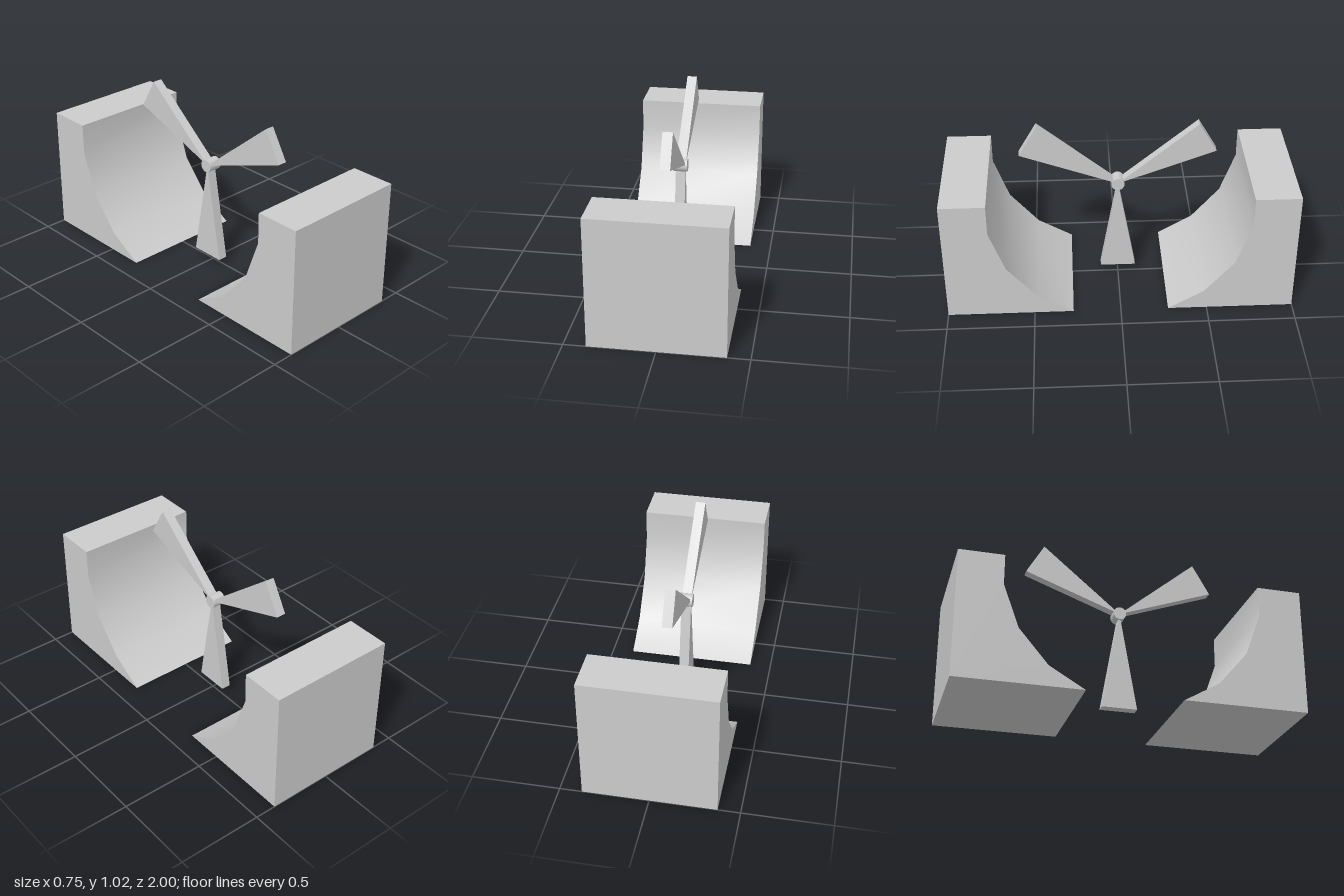
import * as THREE from 'three';
import { toCreasedNormals } from 'three/addons/utils/BufferGeometryUtils.js';

const material = new THREE.MeshStandardMaterial({ color: 0xcccccc });

// Extrudes a (z, y) outline along x, from x0 to x1
function extrudeAlongX(points, x0, x1) {
  const shape = new THREE.Shape(points.map(([z, y]) => new THREE.Vector2(z, y)));
  const geometry = new THREE.ExtrudeGeometry(shape, { depth: x1 - x0, bevelEnabled: false });
  geometry.rotateY(-Math.PI / 2).translate(x1, 0, 0);
  return toCreasedNormals(geometry, 0.6);
}

function addMesh(parent, geometry, name) {
  const mesh = new THREE.Mesh(geometry, material);
  mesh.name = name;
  parent.add(mesh);
  return mesh;
}

export function createModel() {
  const model = new THREE.Group();
  model.name = 'turbineInChannel';

  // Two facing blocks with a hollowed inner side
  const blockProfile = [[0.275, 0], [1, 0], [1, 0.75], [0.74, 0.75], [0.74, 0.57], [0.65, 0.32], [0.48, 0.12]];
  const block = extrudeAlongX(blockProfile, -0.375, 0.375);
  addMesh(model, block, 'frontBlock');
  addMesh(model, block, 'backBlock').rotation.y = Math.PI;

  // Rotor: three wedge blades around a short hub
  const rotor = new THREE.Group();
  rotor.name = 'rotor';
  rotor.position.y = 0.64;
  model.add(rotor);

  const blade = extrudeAlongX([[0, 0], [-0.103, -0.59], [0.103, -0.59]], -0.047, 0.01);
  for (let i = 0; i < 3; i++) {
    addMesh(rotor, blade, 'blade' + (i + 1)).rotation.x = (i * Math.PI * 2) / 3;
  }

  const hub = new THREE.CylinderGeometry(0.038, 0.038, 0.08, 24);
  hub.rotateZ(Math.PI / 2).translate(-0.018, 0, 0);
  addMesh(rotor, hub, 'hub');

  return model;
}
